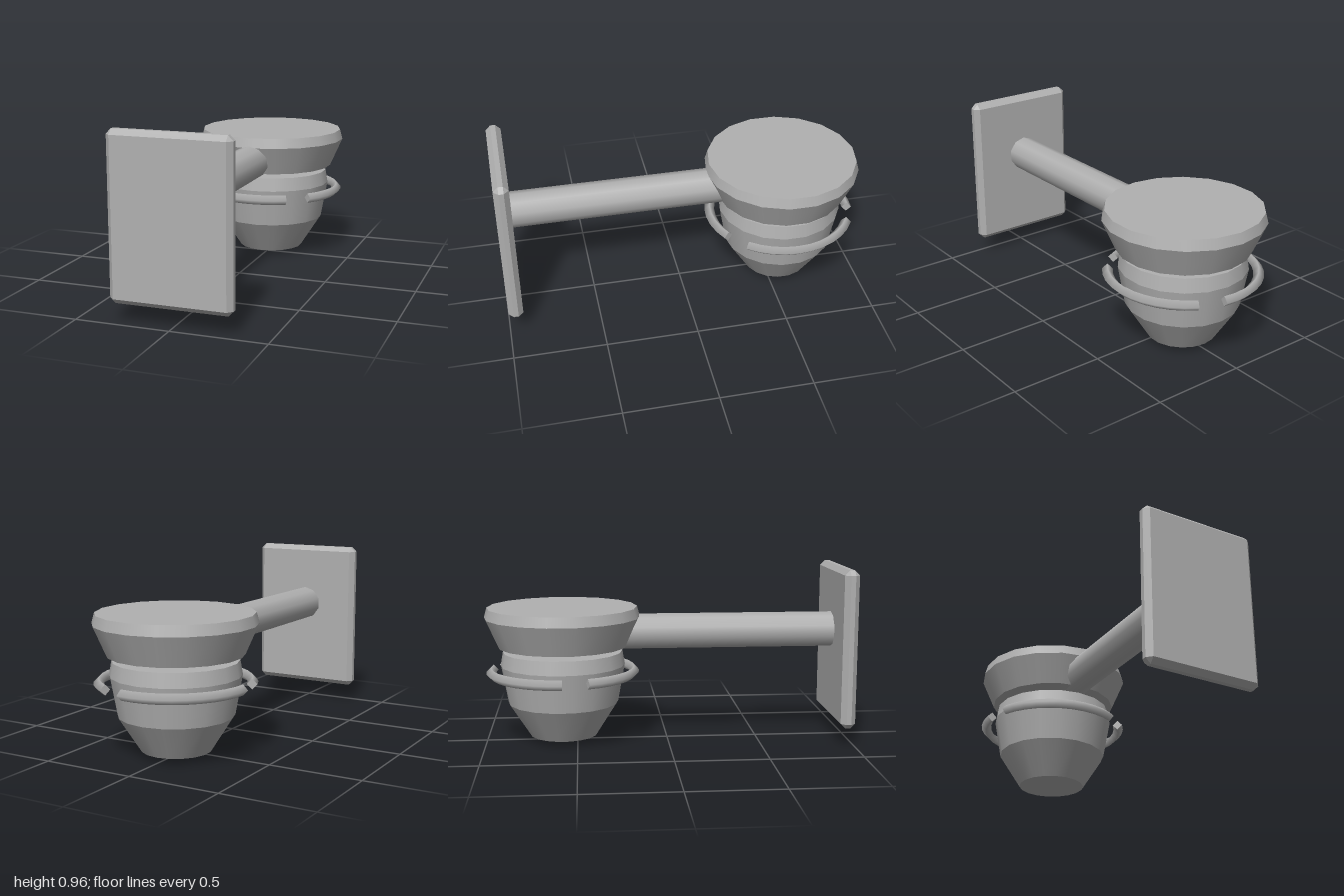
import * as THREE from 'three';
import { mergeGeometries } from 'three/addons/utils/BufferGeometryUtils.js';
import { ConvexGeometry } from 'three/addons/geometries/ConvexGeometry.js';

const SIDES = 18;
const HEAD_Z = -0.575;

// Box with flat chamfers on every edge and corner
function chamferBox(w, h, d, c) {
  const points = [];
  for (const x of [-w / 2, w / 2]) for (const y of [-h / 2, h / 2]) for (const z of [-d / 2, d / 2]) {
    const ix = x - Math.sign(x) * c, iy = y - Math.sign(y) * c, iz = z - Math.sign(z) * c;
    points.push(new THREE.Vector3(x, iy, iz), new THREE.Vector3(ix, y, iz), new THREE.Vector3(ix, iy, z));
  }
  return new ConvexGeometry(points);
}

// Stack of round bands from [radius, y] pairs, bottom to top, smooth around and sharp between bands
function bands(profile) {
  const parts = [];
  for (let i = 0; i < profile.length - 1; i++) {
    const [r0, y0] = profile[i], [r1, y1] = profile[i + 1];
    parts.push(new THREE.CylinderGeometry(r1, r0, y1 - y0, SIDES, 1, true).translate(0, (y0 + y1) / 2, 0));
  }
  const [r, y] = profile[profile.length - 1];
  parts.push(new THREE.CircleGeometry(r, SIDES).rotateZ(Math.PI / 2).rotateX(-Math.PI / 2).translate(0, y, 0));
  return mergeGeometries(parts);
}

// Curved bar of diamond section with closed ends
function curvedBar(radius, tube, arc) {
  const start = new THREE.CircleGeometry(tube, 4).rotateX(Math.PI / 2).translate(radius, 0, 0);
  const end = new THREE.CircleGeometry(tube, 4).rotateX(-Math.PI / 2).translate(radius, 0, 0).rotateZ(arc);
  const bar = new THREE.TorusGeometry(radius, tube, 4, 10, arc);
  return mergeGeometries([bar, start, end]).rotateX(-Math.PI / 2);
}

export function createModel() {
  const model = new THREE.Group();
  const grey = new THREE.MeshStandardMaterial({ color: 0xb0b0b0 });
  grey.name = 'grey metal';

  const add = (name, geometry, x, y, z) => {
    const mesh = new THREE.Mesh(geometry, grey);
    mesh.name = name;
    mesh.position.set(x, y, z);
    model.add(mesh);
    return mesh;
  };

  // Mounting plate and arm
  add('mountingPlate', chamferBox(0.64, 0.86, 0.08, 0.027), 0, 0.53, 0.96);
  const armLength = 1.4;
  add('arm', new THREE.CylinderGeometry(0.0975, 0.0975, armLength, 10).rotateX(Math.PI / 2),
    0, 0.604, 0.92 - armLength / 2);

  // Upper cap and lower body, each with a shallow pointed underside
  add('upperCap', bands([[0, 0.505], [0.355, 0.53], [0.425, 0.69], [0.41, 0.745]]), 0, 0, HEAD_Z);
  add('lowerBody', bands([[0, 0], [0.185, 0.03], [0.303, 0.215], [0.341, 0.425], [0.328, 0.5]]), 0, 0, HEAD_Z);

  // Three guard bars around the body, with gaps between
  for (let i = 0; i < 3; i++) {
    const bar = add('guardBar' + (i + 1), curvedBar(0.392, 0.028, THREE.MathUtils.degToRad(100)), 0, 0.387, HEAD_Z);
    bar.rotation.y = THREE.MathUtils.degToRad(50 - 90 + i * 120);
  }
  return model;
}
